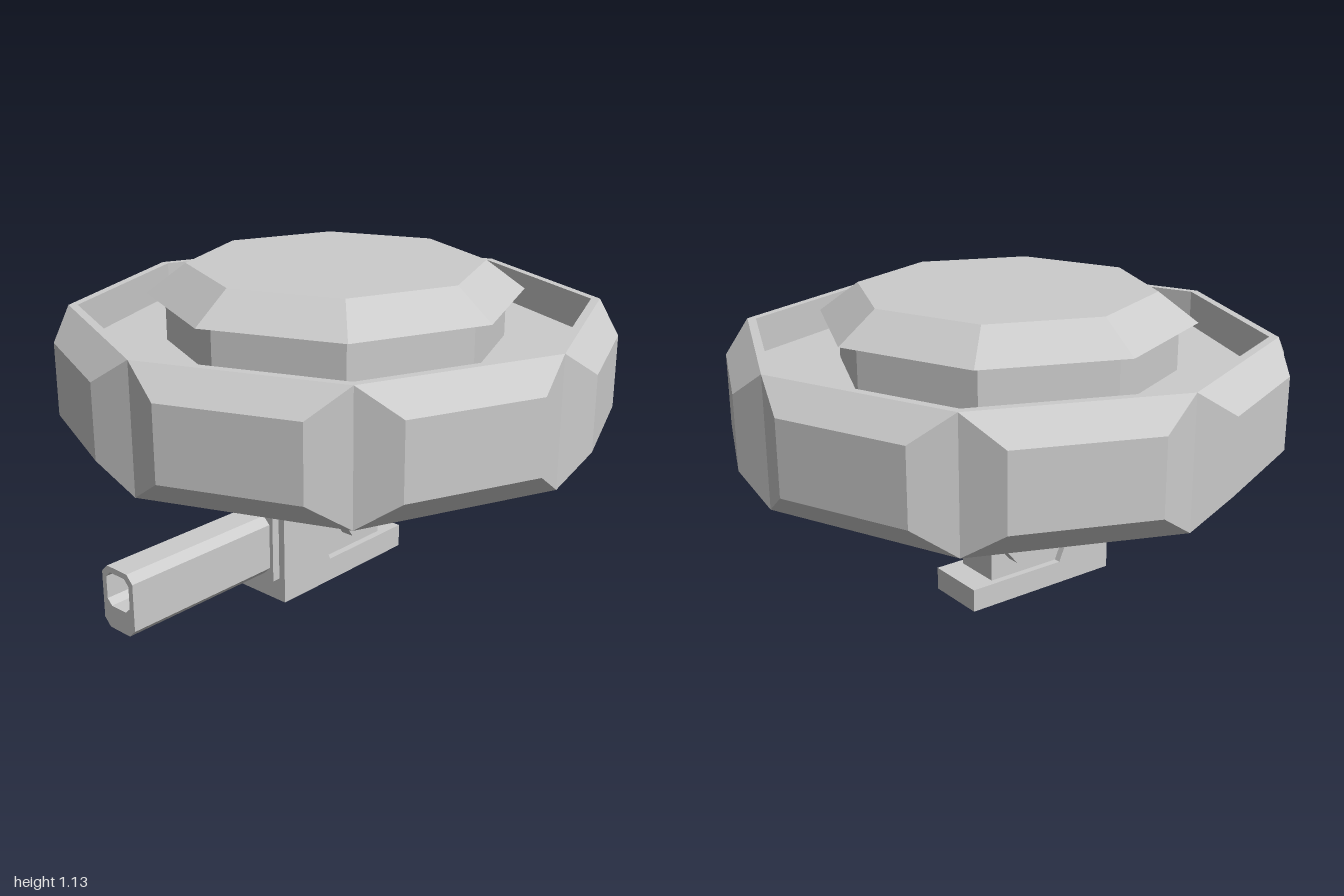
import * as THREE from 'three';

const mat = new THREE.MeshStandardMaterial({ color: 0xcccccc, flatShading: true });

function add(parent, name, geometry, x = 0, y = 0, z = 0) {
  const mesh = new THREE.Mesh(geometry, mat);
  mesh.name = name;
  mesh.position.set(x, y, z);
  parent.add(mesh);
  return mesh;
}

// Eight-sided frustum standing between two heights
function octagon(parent, name, rBottom, rTop, y0, y1) {
  return add(parent, name, new THREE.CylinderGeometry(rTop, rBottom, y1 - y0, 8), 0, (y0 + y1) / 2, 0);
}

// Side profile given as [z, y], extruded symmetrically across x
function sideProfile(points, width) {
  const shape = new THREE.Shape(points.map(p => new THREE.Vector2(...p)));
  return new THREE.ExtrudeGeometry(shape, { depth: width, bevelEnabled: false })
    .translate(0, 0, -width / 2)
    .rotateY(-Math.PI / 2);
}

// Corners of a rectangle with cut corners
function cutRect(x, y0, y1, c) {
  return [[-x + c, y0], [x - c, y0], [x, y0 + c], [x, y1 - c], [x - c, y1], [-x + c, y1], [-x, y1 - c], [-x, y0 + c]]
    .map(p => new THREE.Vector2(...p));
}

// Octagonal ring whose eight sides each bulge into a bevelled panel
function ringGeometry() {
  const [y0, y1, y2, y3] = [0.54, 0.635, 0.895, 0.99];
  const outer = 0.937, inner = 0.905, apothem = 0.953, half = 0.238;
  const pos = [];
  const quad = (a, b, c, d) => pos.push(...a, ...b, ...c, ...a, ...c, ...d);
  const corner = (r, a, y) => [r * Math.sin(a), y, r * Math.cos(a)];
  for (let i = 0; i < 8; i++) {
    const a = i * Math.PI / 4, b = a + Math.PI / 4, m = (a + b) / 2;
    const panel = (s, y) => [
      apothem * Math.sin(m) + s * half * Math.cos(m), y,
      apothem * Math.cos(m) - s * half * Math.sin(m)];
    const A0 = corner(outer, a, y0), A3 = corner(outer, a, y3);
    const B0 = corner(outer, b, y0), B3 = corner(outer, b, y3);
    const L1 = panel(-1, y1), R1 = panel(1, y1), L2 = panel(-1, y2), R2 = panel(1, y2);
    const a0 = corner(inner, a, y0), a3 = corner(inner, a, y3);
    const b0 = corner(inner, b, y0), b3 = corner(inner, b, y3);
    quad(L1, R1, R2, L2);   // panel face
    quad(A0, B0, R1, L1);   // lower bevel
    quad(L2, R2, B3, A3);   // upper bevel
    quad(A0, L1, L2, A3);   // side bevels
    quad(R1, B0, B3, R2);
    quad(A3, B3, b3, a3);   // rims
    quad(a0, b0, B0, A0);
    quad(b0, a0, a3, b3);   // inner wall
  }
  const g = new THREE.BufferGeometry();
  g.setAttribute('position', new THREE.Float32BufferAttribute(pos, 3));
  g.computeVertexNormals();
  return g;
}

export function createModel() {
  const model = new THREE.Group();
  model.name = 'discTurret';

  // Disc assembly
  const disc = new THREE.Group();
  disc.name = 'disc';
  disc.position.z = -0.027;
  model.add(disc);
  add(disc, 'outerRing', ringGeometry());
  octagon(disc, 'floorPlate', 0.905, 0.905, 0.67, 0.86);
  octagon(disc, 'lowerBoss', 0.52, 0.52, 0.57, 0.67);
  octagon(disc, 'neck', 0.6, 0.6, 0.86, 1.03);
  octagon(disc, 'cap', 0.665, 0.525, 1.03, 1.135);

  // Fork carrying the gun
  const fork = new THREE.Group();
  fork.name = 'fork';
  model.add(fork);
  const arm = [[0.1, 0.58], [0.1, 0.235], [0.04, 0.15], [-0.08, 0.15], [-0.15, 0.235], [-0.15, 0.58]];
  for (const side of [-1, 1]) {
    add(fork, side > 0 ? 'leftForkArm' : 'rightForkArm', sideProfile(arm, 0.06), side * 0.11);
  }
  add(fork, 'forkBridge', new THREE.BoxGeometry(0.16, 0.08, 0.25), 0, 0.54, -0.025);

  // Gun: cradle, inner block and hollow barrel
  const gun = new THREE.Group();
  gun.name = 'gun';
  model.add(gun);
  add(gun, 'cradle', sideProfile(
    [[0.37, 0], [0.37, 0.343], [0.25, 0.343], [0.135, 0.085], [-0.257, 0.085], [-0.257, 0]], 0.232));
  add(gun, 'breechBlock', new THREE.BoxGeometry(0.18, 0.26, 0.56), 0, 0.215, 0.12);

  const barrel = new THREE.Shape(cutRect(0.075, 0.105, 0.323, 0.027));
  barrel.holes.push(new THREE.Path(cutRect(0.055, 0.185, 0.303, 0.02).reverse()));
  add(gun, 'barrel', new THREE.ExtrudeGeometry(barrel, { depth: 0.6, bevelEnabled: false }), 0, 0, 0.4);

  return model;
}
